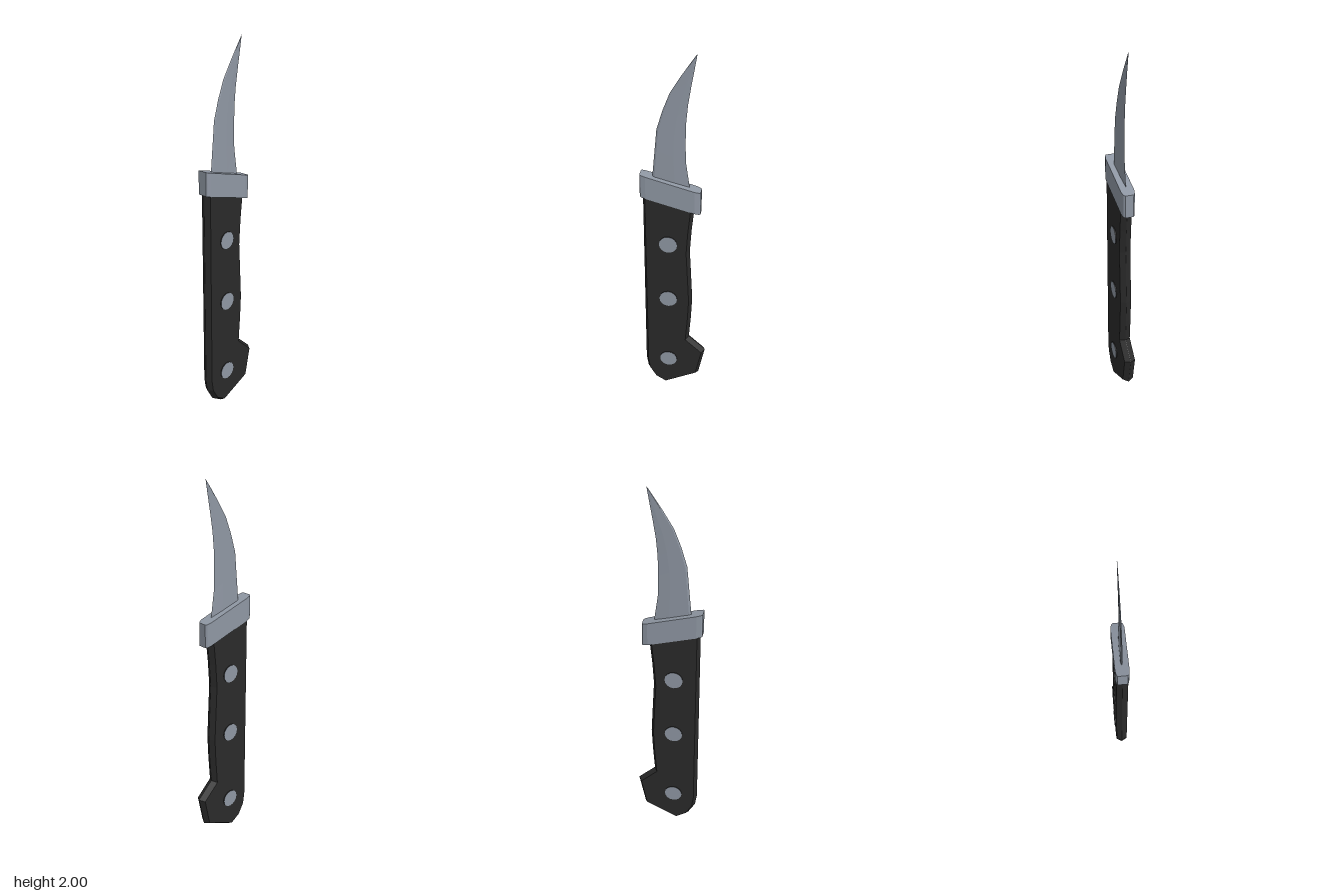
import * as THREE from 'three';

const steel = new THREE.MeshStandardMaterial({ color: 0x8f97a3 });
steel.name = 'steel';
const black = new THREE.MeshStandardMaterial({ color: 0x2a2a2a });
black.name = 'black handle';

const toShape = (points) => new THREE.Shape(points.map(([x, y]) => new THREE.Vector2(x, y)));

function part(name, geometry, material) {
  const mesh = new THREE.Mesh(geometry, material);
  mesh.name = name;
  return mesh;
}

// Handle: side outline with a bevel that meets in a ridge at mid thickness
function handleGeometry() {
  const outline = [
    [-0.05, 0], [0.137, 0.09], [0.172, 0.26], [0.08, 0.345], [0.09, 0.48], [0.096, 0.61],
    [0.088, 0.77], [0.08, 0.92], [0.088, 1.05], [0.1, 1.17], [0.1, 1.22], [-0.163, 1.28],
    [-0.163, 0.17], [-0.153, 0.105], [-0.115, 0.04],
  ];
  const geometry = new THREE.ExtrudeGeometry(toShape(outline), {
    depth: 0.002, bevelThickness: 0.029, bevelSize: 0.016, bevelOffset: -0.016, bevelSegments: 1,
  });
  return geometry.translate(0, 0, -0.001);
}

// Collar: chamfered plan, extruded upward and sheared so it slopes down to +x
function collarGeometry() {
  const plan = [
    [-0.175, -0.025], [-0.168, -0.031], [-0.145, -0.035], [0.105, -0.035], [0.128, -0.029], [0.135, -0.021],
    [0.135, 0.021], [0.128, 0.029], [0.105, 0.035], [-0.145, 0.035], [-0.168, 0.031], [-0.175, 0.025],
  ];
  const geometry = new THREE.ExtrudeGeometry(toShape(plan), { depth: 0.125, bevelEnabled: false });
  geometry.rotateX(-Math.PI / 2);
  const p = geometry.attributes.position;
  for (let i = 0; i < p.count; i++) p.setY(i, p.getY(i) + 1.198 - 0.268 * p.getX(i));
  geometry.computeVertexNormals();
  return geometry;
}

// Blade: thin cross-sections between the back curve and the inner curve
function bladeGeometry() {
  const stations = [
    [-0.12, 1.27, 0.085, 1.22], [-0.113, 1.36, 0.075, 1.305], [-0.1, 1.5, 0.055, 1.445],
    [-0.09, 1.61, 0.053, 1.55], [-0.06, 1.71, 0.055, 1.655], [-0.025, 1.8, 0.063, 1.745],
    [0.03, 1.89, 0.077, 1.835], [0.07, 1.95, 0.09, 1.91], [0.105, 2, 0.105, 2],
  ];
  const section = [[0, 0], [0.06, 0.005], [0.6, 0.004], [1, 0], [0.6, -0.004], [0.06, -0.005]];
  const n = section.length;
  const positions = [], index = [];
  stations.forEach(([lx, ly, rx, ry], i) => {
    const thin = 1 - 0.8 * (i / (stations.length - 1)) ** 2;
    for (const [t, z] of section) positions.push(lx + (rx - lx) * t, ly + (ry - ly) * t, z * thin);
    if (i === 0) return;
    for (let j = 0; j < n; j++) {
      const k = (j + 1) % n, a = (i - 1) * n, b = i * n;
      index.push(a + j, a + k, b + k, a + j, b + k, b + j);
    }
  });
  const indexed = new THREE.BufferGeometry();
  indexed.setAttribute('position', new THREE.Float32BufferAttribute(positions, 3));
  indexed.setIndex(index);
  const geometry = indexed.toNonIndexed();
  geometry.computeVertexNormals();
  return geometry;
}

export function createModel() {
  const group = new THREE.Group();
  group.name = 'paringKnife';
  group.add(
    part('handle', handleGeometry(), black),
    part('collar', collarGeometry(), steel),
    part('blade', bladeGeometry(), steel),
  );

  // Rivets run through the handle: dark sides, steel heads on both faces
  const rivet = new THREE.CylinderGeometry(0.048, 0.048, 0.07, 16).rotateX(Math.PI / 2);
  [0.195, 0.62, 0.97].forEach((y, i) => {
    const mesh = part(`rivet${i + 1}`, rivet, [black, steel, steel]);
    mesh.position.set(-0.031, y, 0);
    group.add(mesh);
  });
  return group;
}
